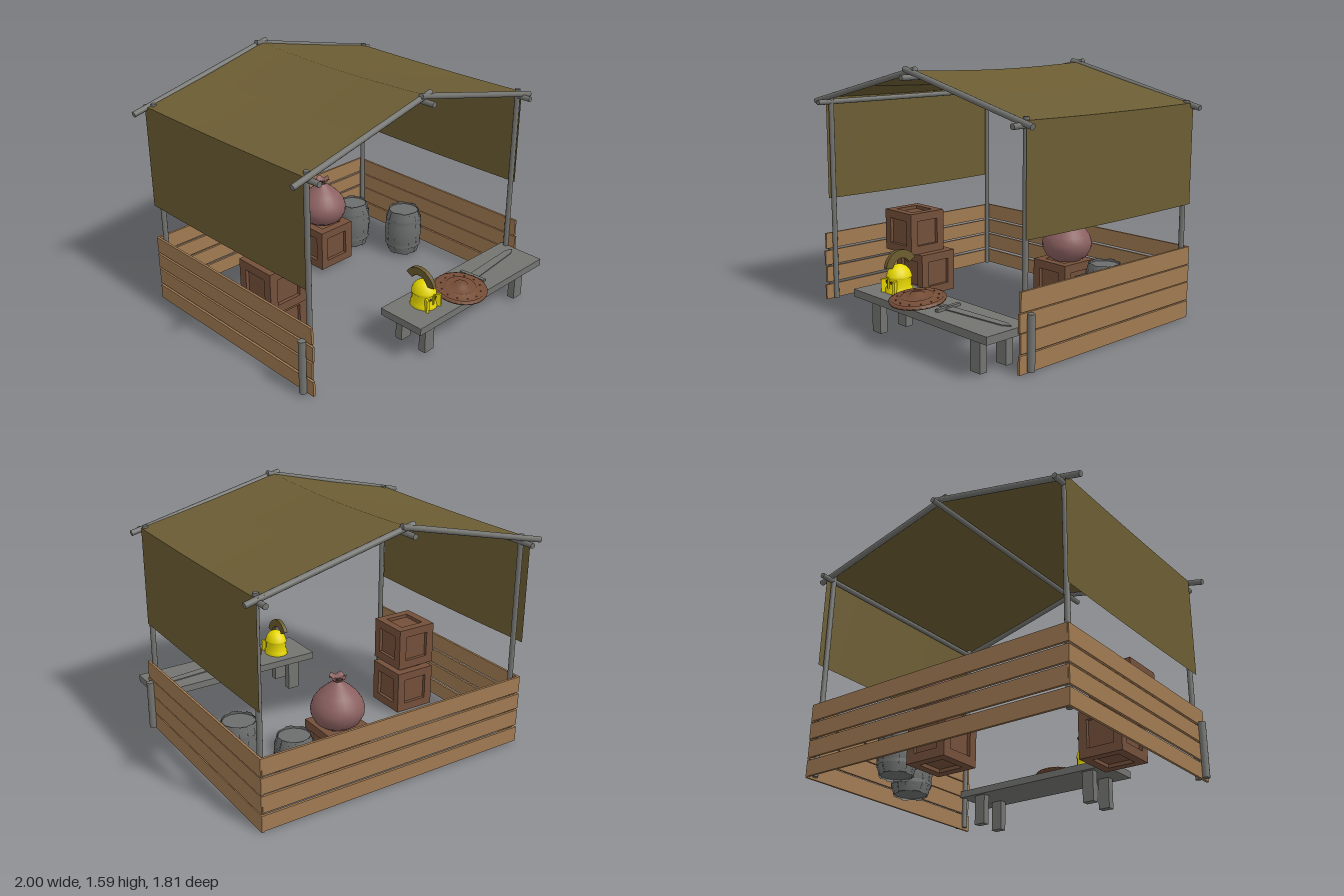
import * as THREE from 'three';

const mat = (name, color, double = false) => {
  const m = new THREE.MeshStandardMaterial({ color });
  m.name = name;
  if (double) m.side = THREE.DoubleSide;
  return m;
};

export function createModel() {
  const root = new THREE.Group();
  root.name = 'marketStall';
  const grey = mat('weathered grey wood', 0x737370);
  const plankWood = mat('plank wood', 0xa07a52);
  const crateWood = mat('crate wood', 0x734f3a);
  const cloth = mat('olive cloth', 0x6b5c33, true);
  const sackCloth = mat('sack cloth', 0x8b6060, true);
  const yellow = mat('yellow metal', 0xe8d800, true);
  const crestMat = mat('crest olive', 0x6a5a2c);
  const shieldMat = mat('shield brown', 0x744c36);
  const iron = mat('barrel grey', 0x6c6d6d, true);
  const dark = mat('dark knot', 0x4a3228);

  const add = (name, geo, material, x = 0, y = 0, z = 0, parent = root) => {
    const m = new THREE.Mesh(geo, material);
    m.name = name;
    m.position.set(x, y, z);
    parent.add(m);
    return m;
  };
  const box = (name, material, x0, x1, y0, y1, z0, z1, parent = root) =>
    add(name, new THREE.BoxGeometry(x1 - x0, y1 - y0, z1 - z0), material,
      (x0 + x1) / 2, (y0 + y1) / 2, (z0 + z1) / 2, parent);
  // round pole between two points
  const pole = (name, a, b, r, parent = root) => {
    const p = new THREE.Vector3(...a), q = new THREE.Vector3(...b);
    const d = q.clone().sub(p);
    const m = add(name, new THREE.CylinderGeometry(r, r, d.length(), 12), grey, 0, 0, 0, parent);
    m.position.copy(p).add(q).multiplyScalar(0.5);
    m.quaternion.setFromUnitVectors(new THREE.Vector3(0, 1, 0), d.normalize());
    return m;
  };
  const lathe = (pts, n) => new THREE.LatheGeometry(pts.map(p => new THREE.Vector2(...p)), n);

  // pole frame
  for (const x of [-0.87, 0.915]) {
    for (const z of [0.56, -0.81]) pole('post', [x, 0.02, z], [x, 1.38, z], 0.017);
    pole('eavePole', [x, 1.335, -0.91], [x, 1.335, 0.66], 0.017);
  }
  pole('ridgePole', [0, 1.535, -0.91], [0, 1.535, 0.66], 0.017);
  for (const z of [0.592, -0.84])
    for (const s of [-1, 1])
      pole('rafter', [s * 0.995, 1.335, z], [-s * 0.045, 1.582, z + s * 0.004], 0.018);
  pole('leftStake', [0.96, 0.02, 0.555], [0.96, 0.34, 0.555], 0.023);
  pole('rightStake', [-0.925, 0.02, 0.555], [-0.925, 0.37, 0.555], 0.023);

  // canopy: cross-section swept along z with a slight sag
  const section = [[-0.905, 0.695], [-0.905, 1.362], [-0.45, 1.462], [0, 1.575],
    [0.45, 1.468], [0.935, 1.362], [0.935, 0.735]];
  const steps = 10;
  for (let i = 0; i < section.length - 1; i++) {
    const [a, b] = [section[i], section[i + 1]];
    const g = new THREE.PlaneGeometry(1, 1, 1, steps), p = g.attributes.position;
    for (let k = 0; k < p.count; k++) {
      const t = 0.5 - p.getY(k), [x, y] = p.getX(k) < 0 ? a : b;
      const sag = (y > 1.4 ? 0.02 : 0.006) * Math.sin(Math.PI * t);
      p.setXYZ(k, x, y - sag, -0.853 + 1.43 * t);
    }
    g.computeVertexNormals();
    add('canopyPanel', g, cloth);
  }

  // plank walls
  const rows = [[0.015, 0.113], [0.13, 0.235], [0.248, 0.346], [0.36, 0.465]];
  rows.forEach(([y0, y1], i) => {
    const e = (i % 2) * 0.008;
    box('backPlank', plankWood, -0.907 + e, 0.942 - e, y0, y1, -0.86, -0.845);
    box('leftPlank', plankWood, 0.927, 0.942, y0 - 0.008, y1, -0.858, 0.622 - e);
    box('rightPlank', plankWood, -0.907, -0.892, y0, y1, -0.858, 0.622 - e);
  });

  // counter table
  box('tableTop', grey, -0.258, 0.92, 0.222, 0.268, 0.52, 0.84);
  for (const x of [-0.15, 0.73])
    for (const z of [0.545, 0.735]) box('tableLeg', grey, x, x + 0.08, 0.02, 0.222, z, z + 0.05);

  // crates with recessed panels
  const crate = (x, y, z, s, turn = 0) => {
    const g = new THREE.Group();
    g.name = 'crate';
    g.position.set(x, y + s / 2, z);
    g.rotation.y = turn;
    const h = s / 2, k = h - 0.055, d = 0.022;
    add('crateCore', new THREE.BoxGeometry(s - 2 * d, s - 2 * d, s - 2 * d), crateWood, 0, 0, 0, g);
    const shape = new THREE.Shape([[-h, -h], [h, -h], [h, h], [-h, h]].map(p => new THREE.Vector2(...p)));
    shape.holes.push(new THREE.Path([[-k, -k], [-k, k], [k, k], [k, -k]].map(p => new THREE.Vector2(...p))));
    const frame = new THREE.ExtrudeGeometry(shape, { depth: d, bevelEnabled: false }).translate(0, 0, h - d);
    for (let i = 0; i < 4; i++) add('crateFrame', frame, crateWood, 0, 0, 0, g).rotation.y = i * Math.PI / 2;
    for (const r of [-1, 1]) add('crateFrame', frame, crateWood, 0, 0, 0, g).rotation.x = r * Math.PI / 2;
    root.add(g);
  };
  crate(-0.64, 0.02, -0.02, 0.28);
  crate(-0.685, 0.302, 0.035, 0.28);
  crate(0.215, 0.03, -0.5, 0.28);

  // tied sack
  const sack = new THREE.Group();
  sack.name = 'sack';
  sack.position.set(0.225, 0.305, -0.515);
  root.add(sack);
  add('sackBody', lathe([[0, 0], [0.09, 0.003], [0.135, 0.035], [0.16, 0.085], [0.163, 0.125],
    [0.148, 0.17], [0.115, 0.215], [0.07, 0.255], [0.035, 0.282], [0.022, 0.3]], 24), sackCloth, 0, 0, 0, sack);
  const frill = lathe([[0.02, 0.295], [0.028, 0.31], [0.052, 0.326]], 20), fp = frill.attributes.position;
  for (let i = 0; i < fp.count; i++)
    if (fp.getY(i) > 0.32) fp.setY(i, 0.32 + 0.012 * Math.cos(5 * Math.atan2(fp.getZ(i), fp.getX(i))));
  frill.computeVertexNormals();
  add('sackFrill', frill, sackCloth, 0, 0, 0, sack);
  add('sackTie', new THREE.TorusGeometry(0.023, 0.007, 6, 16).rotateX(Math.PI / 2), dark, 0, 0.294, 0, sack);

  // barrels: separate bowed staves, hoops and recessed heads
  const barrel = (x, z, r) => {
    const g = new THREE.Group();
    g.name = 'barrel';
    g.position.set(x, 0.02, z);
    const n = 14, a = 2 * Math.PI / n;
    for (let i = 0; i < n; i++) {
      const y = i % 2 ? 0.006 : 0;
      const pts = [[0.8, y], [0.93, 0.07], [1, 0.16], [0.93, 0.25], [0.8, 0.318 + y]]
        .map(p => new THREE.Vector2(p[0] * r, p[1]));
      add('stave', new THREE.LatheGeometry(pts, 1, i * a, a * 0.96), iron, 0, 0, 0, g);
    }
    add('barrelLining', lathe([[0.77, 0.01], [0.97, 0.16], [0.77, 0.318]].map(p => [p[0] * r, p[1]]), n), iron, 0, 0, 0, g);
    for (const y of [0.02, 0.3])
      add('barrelHead', new THREE.CylinderGeometry(0.79 * r, 0.79 * r, 0.012, n), iron, 0, y, 0, g);
    for (const y of [0.07, 0.25])
      add('hoop', new THREE.CylinderGeometry(0.955 * r, 0.955 * r, 0.022, 20, 1, true), iron, 0, y, 0, g);
    root.add(g);
  };
  barrel(0.72, -0.2, 0.132);
  barrel(0.535, -0.53, 0.125);

  // round shield leaning back on the table
  const shield = add('shield', lathe([[0, 0], [0.165, 0], [0.168, 0.012], [0.15, 0.02], [0.143, 0.012],
    [0.1, 0.022], [0.095, 0.03], [0.085, 0.026], [0.045, 0.032], [0.04, 0.044], [0, 0.052]], 28),
  shieldMat, 0.225, 0.287, 0.735);
  shield.rotation.x = 0.1;
  for (let i = 0; i < 12; i++) {
    const t = i * Math.PI / 6;
    add('shieldRivet', new THREE.SphereGeometry(0.005, 6, 4), shieldMat, 0.125 * Math.cos(t), 0.018, 0.125 * Math.sin(t), shield);
  }

  // sword lying on the table
  const sword = new THREE.Group();
  sword.name = 'sword';
  sword.position.set(0.42, 0.272, 0.675);
  sword.rotation.y = 0.09;
  root.add(sword);
  const blade = new THREE.Shape([[0, -0.032], [0.42, -0.024], [0.47, 0], [0.42, 0.024], [0, 0.032]]
    .map(p => new THREE.Vector2(...p)));
  add('swordBlade', new THREE.ExtrudeGeometry(blade, { depth: 0.006, bevelEnabled: false }).rotateX(-Math.PI / 2), grey, 0, -0.003, 0, sword);
  box('swordGuard', grey, -0.012, 0.012, -0.004, 0.012, -0.09, 0.09, sword);
  pole('swordGrip', [-0.1, 0.006, 0], [0, 0.006, 0], 0.01, sword);

  // helmet with cheek guards and crest
  const helmet = new THREE.Group();
  helmet.name = 'helmet';
  helmet.position.set(-0.04, 0.268, 0.665);
  root.add(helmet);
  const dome = lathe([[0.076, 0], [0.074, 0.025], [0.067, 0.035], [0.066, 0.085], [0.072, 0.09], [0.07, 0.102],
    [0.06, 0.13], [0.042, 0.152], [0.02, 0.164], [0, 0.168]], 20).scale(1, 1, 1.15);
  add('helmetDome', dome, yellow, 0, 0, 0, helmet);
  for (const s of [-1, 1]) {
    add('eyeOpening', new THREE.CircleGeometry(0.011, 10), dark, s * 0.022, 0.068, 0.076, helmet).rotation.y = s * 0.3;
    const guard = box('cheekGuard', yellow, -0.008, 0.008, 0, 0.08, -0.02, 0.02, helmet);
    guard.position.set(s * 0.05, 0.04, 0.072);
    guard.rotation.y = s * 0.5;
  }
  box('noseGuard', yellow, -0.006, 0.006, 0.03, 0.1, 0.072, 0.086, helmet);
  const arc = new THREE.Shape();
  arc.absarc(0, 0, 0.115, 0.15, Math.PI - 0.5, false);
  arc.absarc(0, 0, 0.065, Math.PI - 0.5, 0.15, true);
  const crest = add('helmetCrest', new THREE.ExtrudeGeometry(arc, { depth: 0.026, bevelEnabled: false, curveSegments: 14 })
    .translate(0, 0, -0.013).rotateY(-Math.PI / 2), crestMat, -0.008, 0.134, -0.02, helmet);
  crest.rotation.z = 0.06;
  return root;
}
